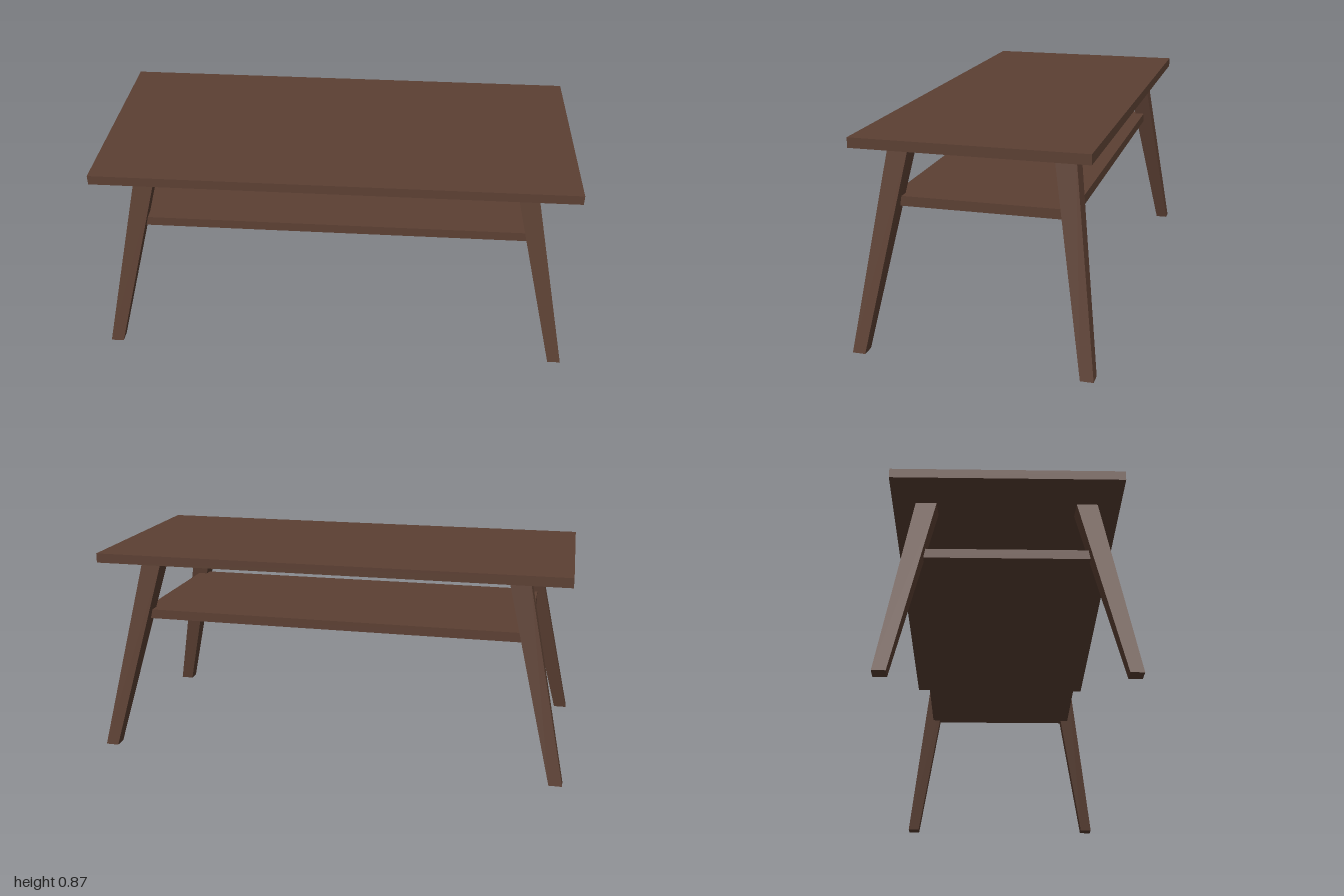
import * as THREE from 'three';

const TOP_Y = 0.867, BOARD = 0.04;
const LEG_TOP = TOP_Y - BOARD;

// Splayed, tapered leg for the corner on side sx, sz (each 1 or -1)
function legGeometry(sx, sz) {
  const geo = new THREE.BoxGeometry(1, 1, 1);
  const p = geo.attributes.position;
  for (let i = 0; i < p.count; i++) {
    const top = p.getY(i) > 0;
    const outerX = p.getX(i) * sx > 0;
    const outerZ = p.getZ(i) * sz > 0;
    const x = top ? (outerX ? 0.825 : 0.74) : (outerX ? 1.0 : 0.945);
    let z = top ? (outerZ ? 0.365 : 0.281) : (outerZ ? 0.48 : 0.428);
    // slight twist of the inner face towards the top
    if (top && !outerZ && !outerX) z -= 0.004;
    p.setXYZ(i, x * sx, top ? LEG_TOP : 0, z * sz);
  }
  geo.computeVertexNormals();
  return geo;
}

export function createModel() {
  const table = new THREE.Group();
  table.name = 'coffeeTable';
  const wood = new THREE.MeshStandardMaterial({ color: 0x5c4033 });
  wood.name = 'darkWood';

  const add = (name, geometry, y = 0) => {
    const mesh = new THREE.Mesh(geometry, wood);
    mesh.name = name;
    mesh.position.y = y;
    table.add(mesh);
  };

  // Horizontal boards
  add('tableTop', new THREE.BoxGeometry(1.984, BOARD, 0.916), TOP_Y - BOARD / 2);
  add('shelf', new THREE.BoxGeometry(1.67, BOARD, 0.72), 0.585);

  // Four mirrored legs
  for (const sx of [1, -1]) {
    for (const sz of [1, -1]) {
      add((sz > 0 ? 'front' : 'back') + (sx > 0 ? 'Left' : 'Right') + 'Leg', legGeometry(sx, sz));
    }
  }
  return table;
}
